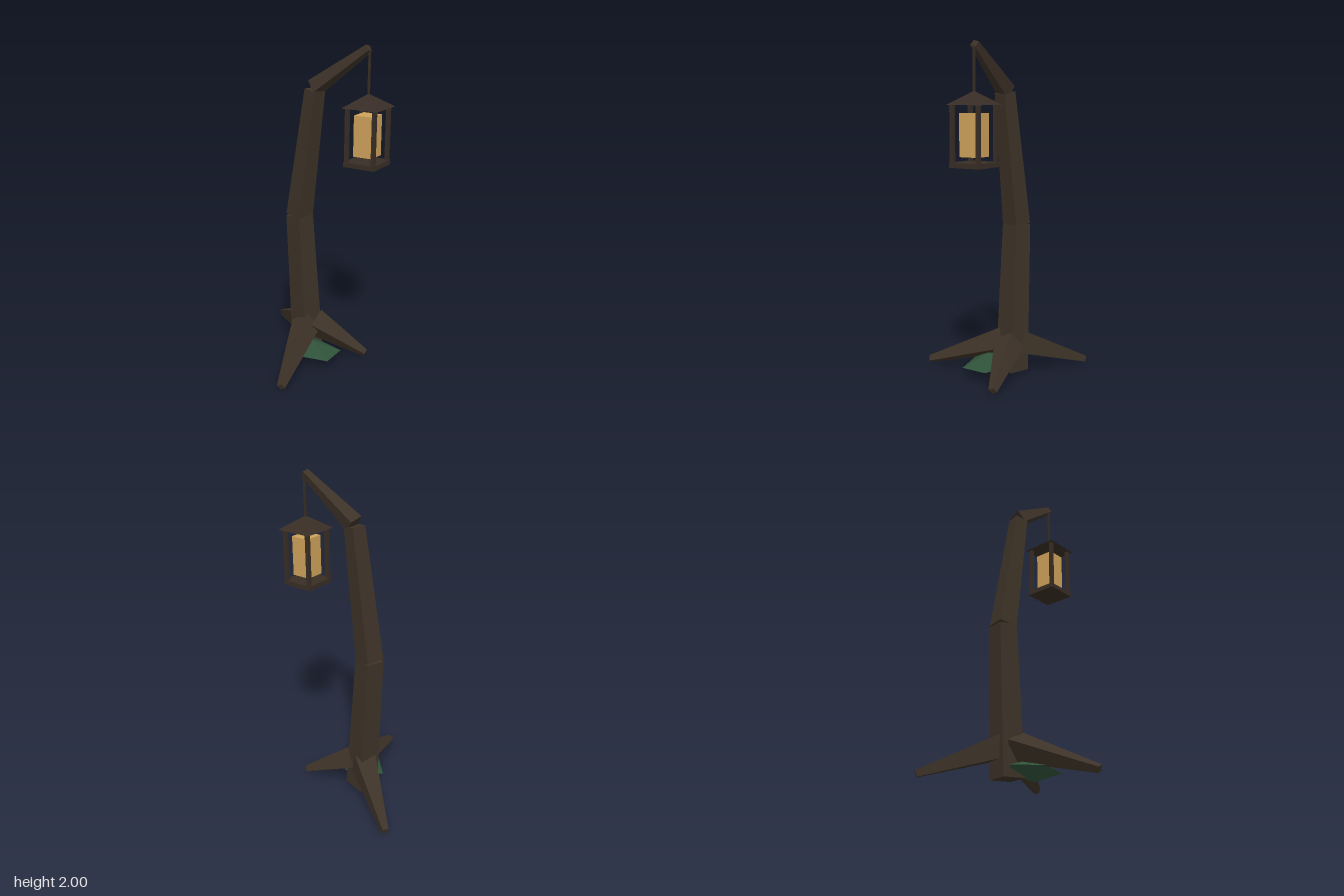
import * as THREE from 'three';

const wood = new THREE.MeshStandardMaterial({ color: 0x3d3227 });
wood.name = 'dark wood';
const frame = new THREE.MeshStandardMaterial({ color: 0x382d25 });
frame.name = 'lantern frame';
const glow = new THREE.MeshStandardMaterial({ color: 0xcfa25b });
glow.name = 'warm glass';
const moss = new THREE.MeshStandardMaterial({ color: 0x2f5239 });
moss.name = 'moss green';

// Faceted mesh: every face keeps its own normal
function facet(name, geometry, material) {
  const g = geometry.index ? geometry.toNonIndexed() : geometry;
  g.computeVertexNormals();
  const mesh = new THREE.Mesh(g, material);
  mesh.name = name;
  return mesh;
}

// Tapered beam from one point to another, turned about its own axis by roll
function beam(name, from, to, r0, r1, roll, material = wood, sides = 4) {
  const a = new THREE.Vector3(...from);
  const b = new THREE.Vector3(...to);
  const dir = b.clone().sub(a);
  const geometry = new THREE.CylinderGeometry(r1, r0, dir.length(), sides);
  geometry.rotateY(roll);
  const mesh = facet(name, geometry, material);
  mesh.quaternion.setFromUnitVectors(new THREE.Vector3(0, 1, 0), dir.normalize());
  mesh.position.copy(a).add(b).multiplyScalar(0.5);
  return mesh;
}

function box(name, w, h, d, x, y, z, material) {
  const mesh = facet(name, new THREE.BoxGeometry(w, h, d), material);
  mesh.position.set(x, y, z);
  return mesh;
}

function createLantern() {
  const lantern = new THREE.Group();
  lantern.name = 'lantern';

  // Pyramid roof, square to the axes
  const roof = facet('lanternRoof', new THREE.CylinderGeometry(0.006, 0.16, 0.075, 4).rotateY(Math.PI / 4), frame);
  roof.position.y = 1.69;
  lantern.add(roof);

  // Floor, corner posts and glowing core
  lantern.add(box('lanternBase', 0.2, 0.028, 0.2, 0, 1.326, 0, frame));
  for (const x of [-1, 1]) {
    for (const z of [-1, 1]) {
      lantern.add(box('lanternPost', 0.022, 0.32, 0.022, x * 0.086, 1.497, z * 0.086, frame));
    }
  }
  lantern.add(box('lanternGlass', 0.118, 0.24, 0.118, 0, 1.49, 0, glow));

  // Cord up to the arm tip
  lantern.add(beam('lanternCord', [0, 1.715, 0], [0, 1.975, 0], 0.008, 0.008, Math.PI / 4, frame));
  lantern.position.set(0.355, 0, -0.108);
  return lantern;
}

export function createModel() {
  const model = new THREE.Group();
  model.name = 'lanternTree';

  // Bent trunk and arm
  const roll = 0.53;
  model.add(beam('lowerTrunk', [-0.05, 0.02, -0.105], [-0.107, 0.93, -0.1], 0.1, 0.084, roll));
  model.add(beam('upperTrunk', [-0.107, 0.93, -0.1], [0.01, 1.725, -0.088], 0.083, 0.061, roll));
  model.add(beam('arm', [0.008, 1.738, -0.092], [0.35, 1.982, -0.108], 0.059, 0.027, roll));

  // Spreading roots
  const roots = [
    [[-0.08, 0.2, -0.125], [-0.455, 0.025, -0.408]],
    [[-0.035, 0.2, -0.065], [0.098, 0.025, 0.42]],
    [[-0.005, 0.2, -0.115], [0.327, 0.025, -0.21]],
  ];
  for (const [from, to] of roots) model.add(beam('root', from, to, 0.094, 0.026, 0.05));

  // Mossy clump at the foot
  const clump = facet('mossClump', new THREE.SphereGeometry(1, 5, 2), moss);
  clump.scale.set(0.2, 0.065, 0.14);
  clump.position.set(0.055, 0.07, 0);
  model.add(clump);

  model.add(createLantern());
  return model;
}
